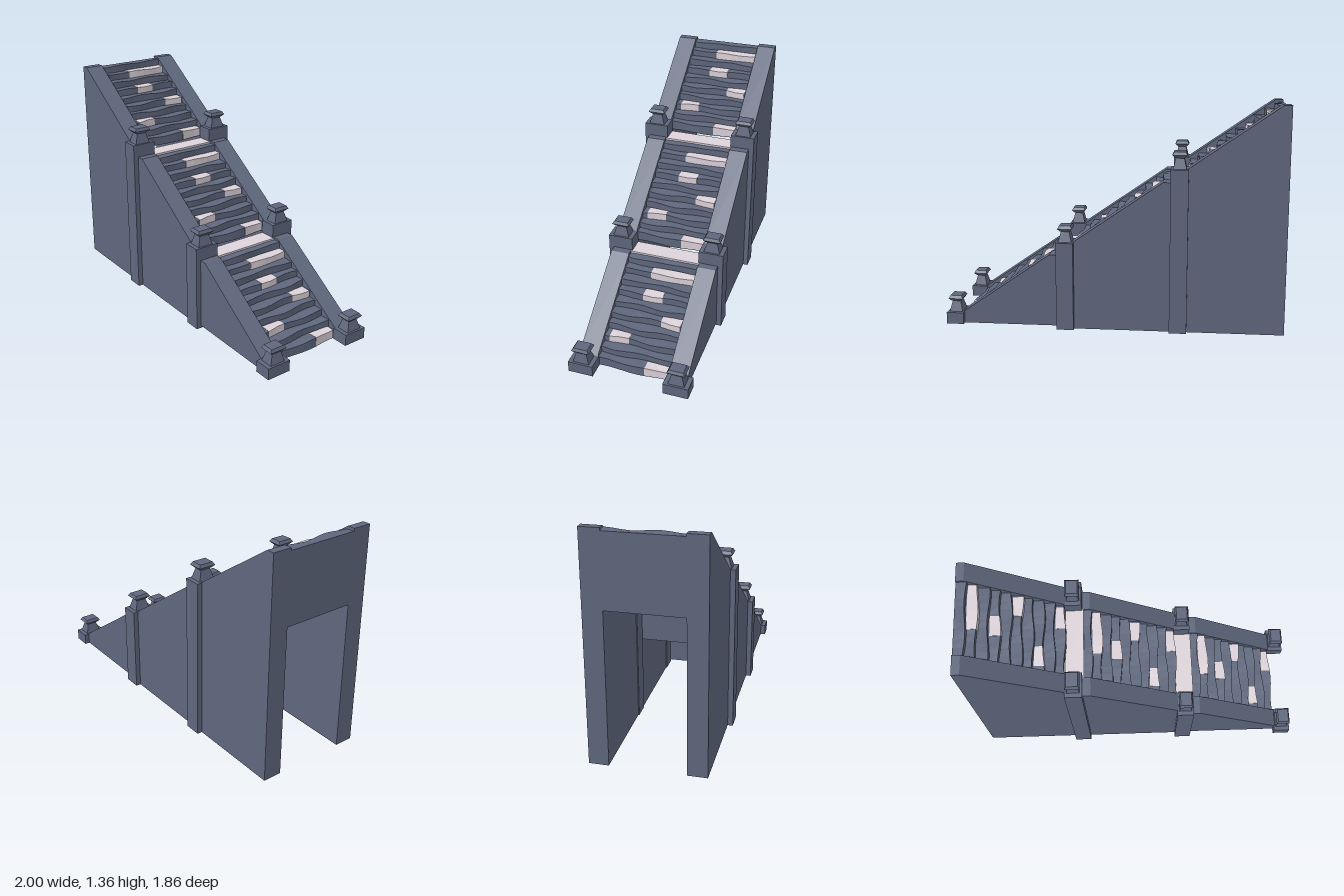
import * as THREE from 'three';

const stone = new THREE.MeshStandardMaterial({ color: 0x5f677d, flatShading: true });
const pale = new THREE.MeshStandardMaterial({ color: 0xddd3da, flatShading: true });

// The stair runs down along local x; z is its width
const RUN = 0.678, RISE = 0.45, BACK = -1.034;
const TREAD = 0.058, RISER = 0.041, STEPS = 10;
const WALL_IN = 0.22, WALL_OUT = 0.335, POST_Z = 0.29;

// Pale bricks: step index and extent across the stair
const PALE_BRICKS = [[1, -0.22, 0.05], [3, -0.06, 0.06], [5, -0.21, -0.09], [7, 0.07, 0.19], [9, -0.21, -0.07]];

function add(parent, name, geometry, material) {
  const mesh = new THREE.Mesh(geometry, material);
  mesh.name = name;
  parent.add(mesh);
  return mesh;
}

function box(x0, x1, y0, y1, z0, z1, segments = 1) {
  const g = new THREE.BoxGeometry(x1 - x0, y1 - y0, z1 - z0, 1, 1, segments);
  return g.translate((x0 + x1) / 2, (y0 + y1) / 2, (z0 + z1) / 2);
}

// A step whose nosing and top edge wander slightly, as worn stone
function wornStep(index, x0, x1, y0, y1, z0, z1) {
  const g = box(x0, x1, y0, y1, z0, z1, Math.max(2, Math.round((z1 - z0) / 0.05)));
  const p = g.attributes.position;
  const midX = (x0 + x1) / 2, midY = (y0 + y1) / 2;
  for (let i = 0; i < p.count; i++) {
    const z = p.getZ(i);
    if (p.getX(i) > midX) p.setX(i, p.getX(i) + 0.007 * Math.sin(z * 17 + index * 2.3));
    if (p.getY(i) > midY && p.getX(i) > midX) p.setY(i, p.getY(i) + 0.004 * Math.sin(z * 23 + index * 1.7));
  }
  return g;
}

function createFlight(j) {
  const flight = new THREE.Group();
  flight.name = 'flight';
  const start = BACK + RUN * j;
  const lift = RISE * (2 - j);
  const under = 0.015 + lift;
  const top = 0.44 + lift;

  // Steps, each a block down to the flat underside
  for (let i = 0; i < STEPS; i++) {
    const x0 = start + i * TREAD - (i ? 0.02 : 0);
    const x1 = start + (i + 1) * TREAD;
    const y1 = top - i * RISER;
    add(flight, 'step', wornStep(i, x0, x1, under, y1, -WALL_IN, WALL_IN), stone);
  }
  for (const [i, z0, z1] of PALE_BRICKS) {
    const x1 = start + (i + 1) * TREAD + 0.002;
    const y1 = top - i * RISER + 0.002;
    add(flight, 'paleBrick', wornStep(i, x1 - TREAD, x1, y1 - 0.053, y1, z0, z1), pale);
  }

  // Landing joining this flight to the one above
  if (j > 0) add(flight, 'landing', box(start - 0.1, start + 0.01, top - 0.05, top + 0.012, -WALL_IN, WALL_IN), pale);

  // Side walls reaching the ground, with sloping tops
  const ground = j === 2 ? 0.015 : 0;
  const high = 1.355 - RISE * j;
  const shape = new THREE.Shape([
    [start, ground], [start + 0.59, ground], [start + 0.59, high - 0.375], [start + 0.047, high], [start, high],
  ].map(([x, y]) => new THREE.Vector2(x, y)));
  for (const z of [-WALL_OUT, WALL_IN]) {
    const g = new THREE.ExtrudeGeometry(shape, { depth: WALL_OUT - WALL_IN, bevelEnabled: false });
    add(flight, 'sideWall', g.translate(0, 0, z), stone);
  }
  return flight;
}

// Four-sided finial: tapered neck and flared cap
function finialGeometry() {
  const profile = [
    [0, 0], [0.042, 0], [0.026, 0.062], [0.03, 0.064], [0.046, 0.082], [0.036, 0.1], [0, 0.1],
  ].map(([half, y]) => new THREE.Vector2(half * Math.SQRT2, y));
  const g = new THREE.LatheGeometry(profile, 4);
  return g.rotateY(Math.PI / 4).scale(0.95, 1, 1.18);
}

function createPost(j, side) {
  const post = new THREE.Group();
  post.name = 'post';
  const x = 0.95 - RUN * (2 - j);
  const top = 0.085 + RISE * (2 - j);
  const z = side * POST_Z;
  const ground = j === 2 ? 0.015 : 0;
  add(post, 'pillar', box(x - 0.052, x + 0.052, ground, top, z - 0.076, z + 0.076), stone);
  add(post, 'finial', finialGeometry(), stone).position.set(x, top, z);
  return post;
}

export function createModel() {
  const model = new THREE.Group();
  model.name = 'staircase';
  const stair = new THREE.Group();
  stair.name = 'stair';
  for (let j = 0; j < 3; j++) {
    stair.add(createFlight(j));
    for (const side of [-1, 1]) stair.add(createPost(j, side));
  }
  // The whole stair stands diagonally
  stair.rotation.y = -0.7116;
  model.add(stair);
  return model;
}
